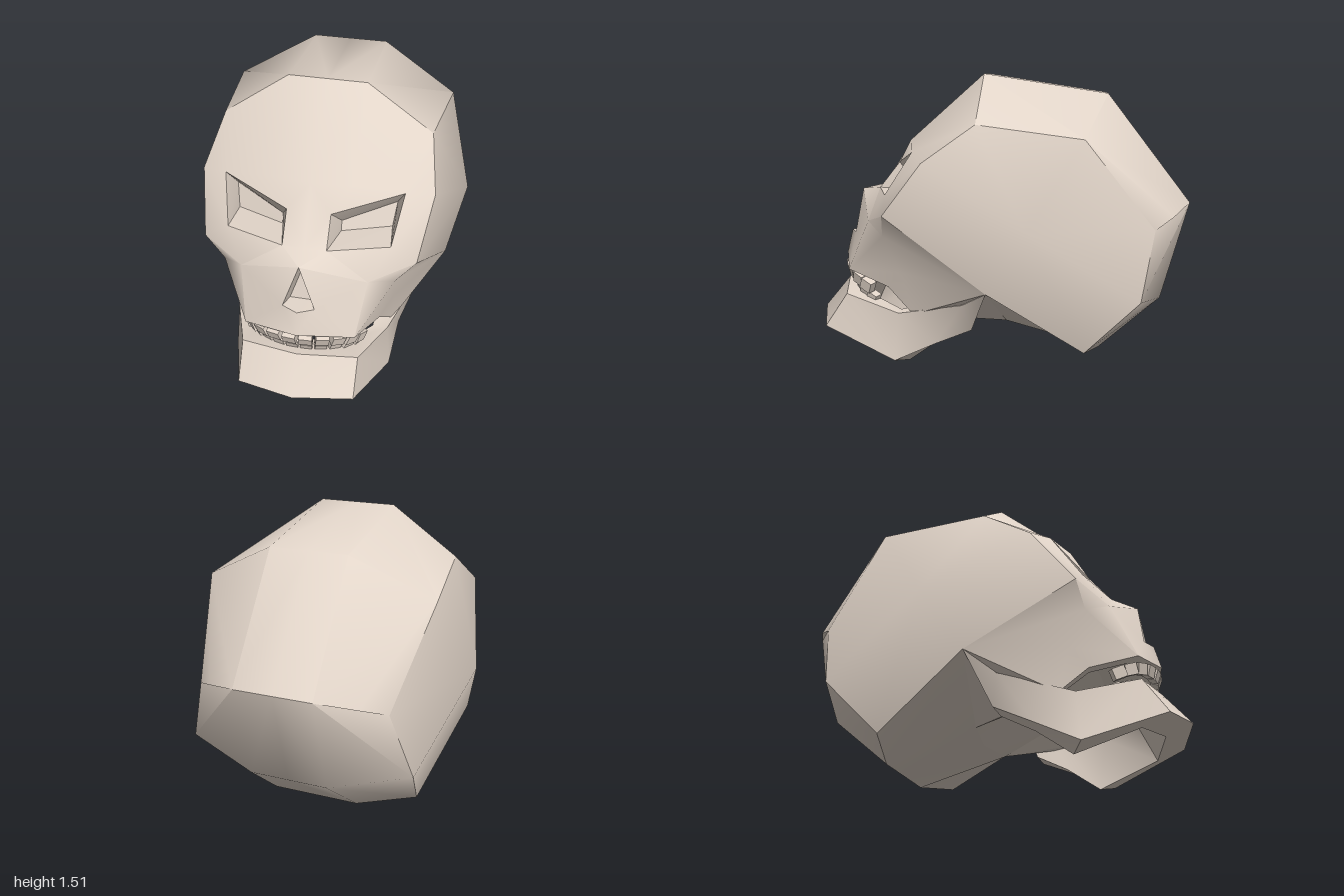
import * as THREE from 'three';
import { toCreasedNormals } from 'three/addons/utils/BufferGeometryUtils.js';

const bone = new THREE.MeshStandardMaterial({ color: 0xe2d5c9, side: THREE.DoubleSide });

// Builds a creased mesh from polygons on the +x half, adding the mirrored half
function mirroredMesh(name, polygons, crease = 0.8) {
  const pos = [];
  for (const poly of polygons) {
    for (let i = 1; i < poly.length - 1; i++) {
      const [a, b, c] = [poly[0], poly[i], poly[i + 1]];
      pos.push(...a, ...b, ...c);
      for (const [x, y, z] of [a, c, b]) pos.push(-x, y, z);
    }
  }
  const geo = new THREE.BufferGeometry();
  geo.setAttribute('position', new THREE.Float32BufferAttribute(pos, 3));
  const mesh = new THREE.Mesh(toCreasedNormals(geo, crease), bone);
  mesh.name = name;
  return mesh;
}

// Landmarks of the skull, left half
const P = {
  // crown and forehead
  T0: [0, 1.51, 0.07], T1: [0.2, 1.51, 0.07], A: [0.54, 1.265, 0.08],
  P0: [0, 1.168, 0.48], P1: [0.2, 1.165, 0.46],
  // temple, cheekbone, jaw joint, widest point
  B: [0.59, 1.08, 0.34], C: [0.54, 0.81, 0.55], D: [0.66, 0.455, 0.02], W: [0.74, 0.77, -0.18],
  // back of the head
  H: [0.6, 1.2, -0.45], G: [0.49, 0.75, -0.8], F: [0.59, 0.41, -0.73], E: [0.53, 0.13, -0.46],
  U0: [0, 1.41, -0.57], U1: [0.2, 1.41, -0.57],
  V0: [0, 0.85, -1], V1: [0.2, 0.85, -1], V2: [0.38, 0.8, -0.9],
  X0: [0, 0.34, -0.86], X1: [0.2, 0.34, -0.86],
  Y0: [0, 0.07, -0.54], Y1: [0.23, 0.07, -0.54],
  // base and palate
  Z0: [0, 0.2, -0.09], Z1: [0.25, 0.21, -0.05], O0: [0, 0.52, 0.55], O1: [0.2, 0.49, 0.55],
  // eye socket opening and back wall
  E1: [0.11, 1.04, 0.54], E2: [0.45, 1.12, 0.41], E3: [0.41, 0.9, 0.56], E4: [0.11, 0.9, 0.65],
  J1: [0.15, 0.945, 0.46], J2: [0.41, 1.02, 0.35], J3: [0.395, 0.9, 0.4], J4: [0.15, 0.895, 0.48],
  // nose opening, ledge and back wall
  N0: [0, 0.9, 0.65], N: [0, 0.88, 0.77], NB: [0.08, 0.645, 0.8], NC: [0, 0.645, 0.838],
  NV: [0, 0.81, 0.7], NW: [0.055, 0.65, 0.74], NM: [0, 0.65, 0.74],
  // cheek hollow, upper lip rim and its inner edge
  K: [0.32, 0.75, 0.67], Q: [0.44, 0.69, 0.57], S: [0.43, 0.5, 0.48],
  R0: [0, 0.52, 0.87], L: [0.28, 0.48, 0.79], R2: [0.37, 0.41, 0.56], M: [0.425, 0.28, 0.42],
  r0: [0, 0.49, 0.8], l: [0.25, 0.46, 0.73], r2: [0.32, 0.405, 0.55], m: [0.37, 0.285, 0.41],
};
const faces = (list) => list.map((f) => f.split(' ').map((k) => P[k]));

function buildCranium() {
  const rim = ['C', 'D', 'E', 'F', 'G', 'H', 'A', 'B'];
  const side = rim.map((k, i) => `W ${k} ${rim[(i + 1) % rim.length]}`);
  const group = new THREE.Group();
  group.name = 'cranium';
  group.add(
    mirroredMesh('temples', faces(side)),
    mirroredMesh('crownAndBack', faces([
      'T0 T1 U1 U0', 'T1 A H U1', 'U0 U1 V1 V0', 'U1 H V1', 'H G V2', 'H V2 V1',
      'V0 V1 X1 X0', 'V1 V2 G F X1', 'X0 X1 Y1 Y0', 'X1 F E Y1',
    ])),
    mirroredMesh('base', faces(['Y0 Y1 Z1 Z0', 'Y1 E D Z1'])),
  );
  return group;
}

function buildFace() {
  return mirroredMesh('face', faces([
    // forehead and around the eyes
    'P0 P1 T1 T0', 'P1 A T1', 'P1 E2 A', 'E2 B A', 'P0 E1 P1', 'E1 E2 P1',
    'N0 E4 E1 P0', 'E3 C B', 'E3 B E2', 'N0 N E4', 'N K E4', 'E4 K E3', 'K C E3',
    // upper jaw
    'N NB K', 'NB L K', 'NB R0 L', 'NC R0 NB',
    // cheek hollow
    'K Q C', 'L R2 S Q K', 'R2 M S', 'Q S D C', 'S M D',
  ]), 0.9);
}

// Underside of the upper jaw: lip rim, then the roof of the mouth
function buildPalate() {
  return mirroredMesh('palate', faces([
    'R0 r0 l L', 'L l r2 R2', 'R2 r2 m M',
    'r0 O0 O1 l', 'l O1 r2', 'r2 O1 m',
    'Z0 Z1 O1 O0', 'Z1 D M m', 'Z1 m O1',
  ]), 0.4);
}

function buildSockets() {
  const group = new THREE.Group();
  group.name = 'sockets';
  group.add(
    mirroredMesh('eyeSockets', faces([
      'J4 J3 J2 J1', 'E4 E3 J3 J4', 'J1 J2 E2 E1', 'E4 J4 J1 E1', 'E3 E2 J2 J3',
    ]), 0.4),
    mirroredMesh('noseCavity', faces(['NC NB NW NM', 'NM NW NV', 'N NV NW NB']), 0.4),
  );
  return group;
}

// Lower jaw: sections of outer top, outer bottom, inner bottom, inner top
function buildJaw() {
  const sections = [
    [[0, 0.375, 0.86], [0, 0.205, 1], [0, 0.15, 0.86], [0, 0.36, 0.74]],
    [[0.3, 0.35, 0.8], [0.3, 0.17, 0.92], [0.27, 0.115, 0.78], [0.22, 0.33, 0.68]],
    [[0.41, 0.28, 0.5], [0.43, 0.03, 0.52], [0.32, 0, 0.46], [0.33, 0.28, 0.5]],
    [[0.54, 0.365, 0.15], [0.45, 0.135, 0.3], [0.33, 0.13, 0.28], [0.36, 0.35, 0.2]],
    [P.D, [0.48, 0.22, 0.11], [0.34, 0.22, 0.11], [0.36, 0.4, 0.05]],
  ];
  const polys = [];
  for (let i = 0; i < sections.length - 1; i++) {
    const [a, b] = [sections[i], sections[i + 1]];
    for (let j = 0; j < 4; j++) {
      const k = (j + 1) % 4;
      polys.push([a[j], a[k], b[k], b[j]]);
    }
  }
  polys.push(sections[4]); // rear edge of the jaw branch
  return mirroredMesh('lowerJaw', polys, 0.6);
}

// A row of block teeth; spots are [x, y, z, turn] on the left half
function buildTeeth(name, spots, width, height) {
  const group = new THREE.Group();
  group.name = name;
  const geo = new THREE.BoxGeometry(width, height, 0.045);
  for (const s of [1, -1]) {
    for (const [x, y, z, turn] of spots) {
      const tooth = new THREE.Mesh(geo, bone);
      tooth.name = 'tooth';
      tooth.position.set(s * x, y, z);
      tooth.rotation.set(0.35 - 0.2 * turn, s * turn, -0.4 * s * turn, 'YXZ');
      group.add(tooth);
    }
  }
  return group;
}

export function createModel() {
  const skull = new THREE.Group();
  skull.name = 'skull';
  skull.add(
    buildCranium(), buildFace(), buildPalate(), buildSockets(), buildJaw(),
    buildTeeth('upperTeeth', [
      [0.04, 0.465, 0.83, 0.08], [0.12, 0.46, 0.812, 0.25], [0.192, 0.447, 0.78, 0.5],
      [0.248, 0.425, 0.737, 0.85], [0.285, 0.398, 0.688, 1.05],
    ], 0.068, 0.058),
    buildTeeth('lowerTeeth', [
      [0.035, 0.385, 0.79, 0.08], [0.105, 0.38, 0.775, 0.25], [0.17, 0.367, 0.745, 0.5],
      [0.225, 0.35, 0.708, 0.85], [0.265, 0.328, 0.662, 1.05],
    ], 0.06, 0.05),
  );
  return skull;
}
